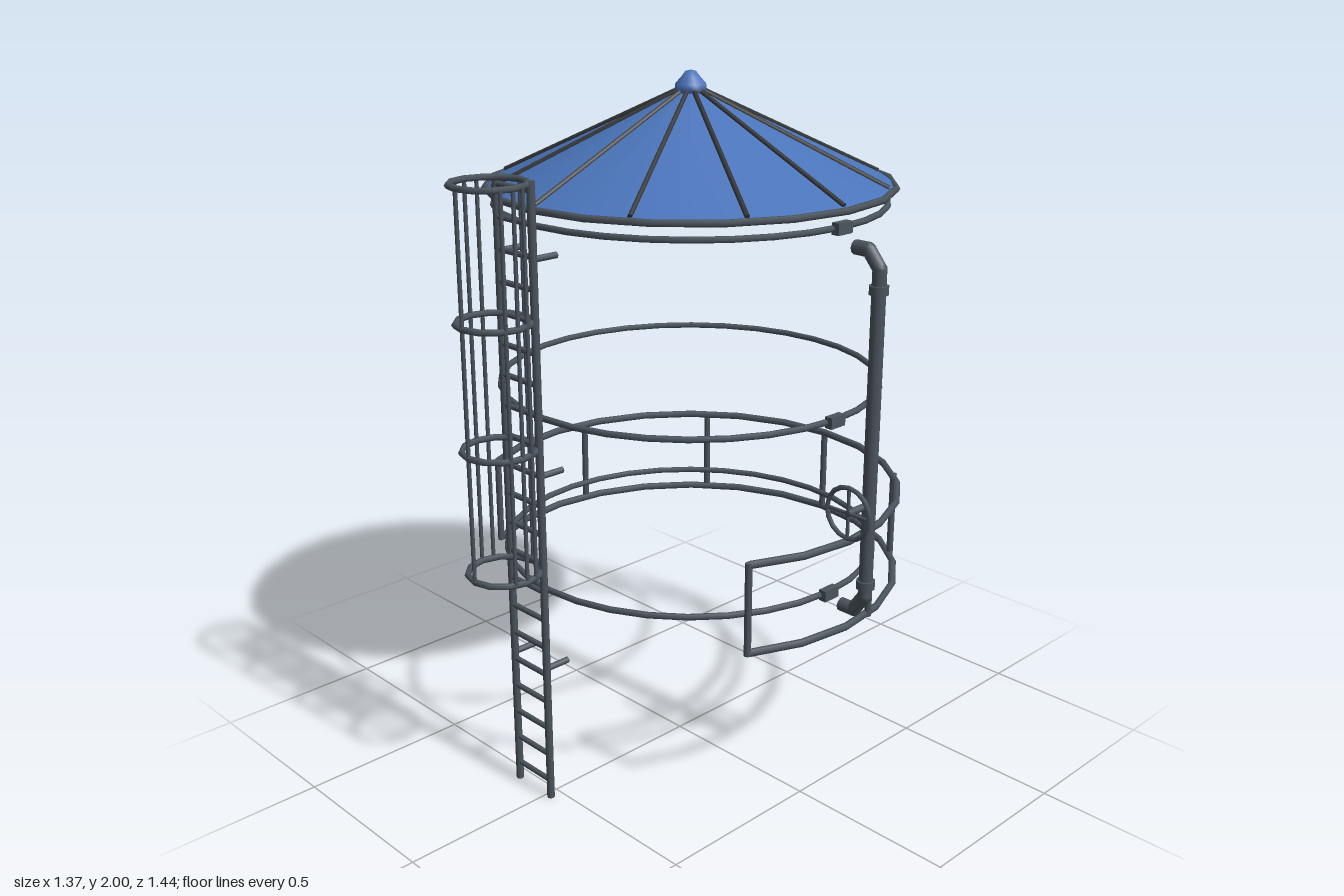
import * as THREE from 'three';

const steel = new THREE.MeshStandardMaterial({ color: 0x4b545d });
steel.name = 'steel';
const roofBlue = new THREE.MeshStandardMaterial({ color: 0x4a74ba });
roofBlue.name = 'roof blue';
const darkRib = new THREE.MeshStandardMaterial({ color: 0x343638 });
darkRib.name = 'dark rib';

const CX = -0.05, CZ = -0.09; // tank axis
const V = (x, y, z) => new THREE.Vector3(x, y, z);
const rad = THREE.MathUtils.degToRad;

export function createModel() {
  const model = new THREE.Group();
  model.name = 'tankFittings';

  function group(name) {
    const g = new THREE.Group();
    g.name = name;
    model.add(g);
    return g;
  }
  function add(parent, name, geo, mat, x = 0, y = 0, z = 0) {
    const m = new THREE.Mesh(geo, mat);
    m.name = name;
    m.position.set(x, y, z);
    parent.add(m);
    return m;
  }
  // round bar between two points
  function bar(parent, name, a, b, r, mat = steel, sides = 8) {
    const m = add(parent, name, new THREE.CylinderGeometry(r, r, a.distanceTo(b), sides), mat);
    m.position.copy(a).add(b).multiplyScalar(0.5);
    m.quaternion.setFromUnitVectors(V(0, 1, 0), b.clone().sub(a).normalize());
    return m;
  }
  // horizontal ring
  function ring(parent, name, R, r, segs, x, y, z) {
    const geo = new THREE.TorusGeometry(R, r, 6, segs).rotateX(Math.PI / 2);
    return add(parent, name, geo, steel, x, y, z);
  }
  // point around the tank axis, angle from +x towards +z
  const around = (deg, r, y) => V(CX + r * Math.cos(rad(deg)), y, CZ + r * Math.sin(rad(deg)));

  // Roof cone, ribs, edge ring and cap
  const roof = group('roof');
  add(roof, 'roofCone', new THREE.ConeGeometry(0.577, 0.27, 24), roofBlue, CX, 1.825, CZ);
  for (let i = 0; i < 12; i++) {
    bar(roof, 'roofRib', around(i * 30, 0.04, 1.944), around(i * 30, 0.56, 1.701), 0.007, darkRib, 6);
  }
  ring(roof, 'roofEdge', 0.575, 0.01, 20, CX, 1.69, CZ);
  const cap = [[0, 1.935], [0.047, 1.94], [0.044, 1.962], [0.026, 1.982], [0.015, 1.996], [0, 2]];
  add(roof, 'roofCap', new THREE.LatheGeometry(cap.map(p => new THREE.Vector2(...p)), 12), roofBlue, CX, 0, CZ);

  // Hoops with their clamps
  const hoops = group('tankHoops');
  for (const y of [0.61, 1.12, 1.645]) {
    ring(hoops, 'hoop', 0.554, 0.009, 32, CX, y, CZ);
    add(hoops, 'hoopClamp', new THREE.BoxGeometry(0.024, 0.032, 0.056), steel, CX + 0.56, y, CZ + 0.004);
  }

  // Guard rail, open at the front
  const guard = group('guardRail');
  for (const y of [0.527, 0.787]) {
    const geo = new THREE.TorusGeometry(0.622, 0.011, 6, 16, rad(240));
    geo.rotateZ(rad(-30)).rotateX(-Math.PI / 2);
    add(guard, 'rail', geo, steel, CX, y, CZ);
  }
  for (let a = 30; a >= -210; a -= 40) {
    bar(guard, 'railPost', around(a, 0.622, 0.52), around(a, 0.622, 0.793), 0.01);
  }

  // Ladder
  const ladder = group('ladder');
  const LX = -0.053, LZ = 0.535;
  for (const s of [-1, 1]) {
    const x = LX + s * 0.071;
    bar(ladder, 'ladderRail', V(x, 0, LZ), V(x, 1.78, LZ), 0.011);
    for (const y of [0.415, 0.99, 1.58]) {
      bar(ladder, 'wallBracket', V(x, y, LZ), V(x, y, 0.459), 0.009);
    }
  }
  for (let i = 0; i < 21; i++) {
    const y = 0.055 + i * 0.085;
    bar(ladder, 'rung', V(LX - 0.071, y, LZ), V(LX + 0.071, y, LZ), 0.008, steel, 6);
  }

  // Safety cage
  const cage = group('safetyCage');
  const KZ = 0.613;
  for (const y of [0.715, 1.068, 1.416, 1.773]) ring(cage, 'cageHoop', 0.1, 0.009, 12, LX, y, KZ);
  for (const a of [0, 70, 90, 110, 180, 250, 270, 290]) {
    const x = LX + 0.1 * Math.sin(rad(a)), z = KZ + 0.1 * Math.cos(rad(a));
    bar(cage, 'cageBar', V(x, 0.715, z), V(x, 1.773, z), 0.006, steel, 6);
  }

  // Side pipe with elbows and collars
  const pipe = group('sidePipe');
  const PX = 0.603, PZ = -0.13;
  const path = new THREE.CurvePath();
  const pts = [[0.52, 0.565], [0.565, 0.565], [PX, 0.62], [PX, 1.545], [0.565, 1.59], [0.52, 1.59]]
    .map(([x, y]) => V(x, y, PZ));
  for (let i = 0; i < pts.length - 1; i++) {
    bar(pipe, 'pipeSection', pts[i], pts[i + 1], 0.02, steel, 10);
    if (i > 0) add(pipe, 'pipeJoint', new THREE.SphereGeometry(0.02, 10, 8), steel, ...pts[i].toArray());
  }
  for (const y of [0.655, 1.49]) {
    add(pipe, 'pipeCollar', new THREE.CylinderGeometry(0.027, 0.027, 0.024, 10), steel, PX, y, PZ);
  }

  // Valve wheel on its stem
  const valve = group('valveWheel');
  const WY = 0.892, WZ = -0.042;
  bar(valve, 'valveStem', V(PX, WY, PZ), V(PX, WY, WZ + 0.004), 0.01);
  add(valve, 'wheelRim', new THREE.TorusGeometry(0.073, 0.007, 6, 16), steel, PX, WY, WZ);
  bar(valve, 'wheelSpoke', V(PX - 0.073, WY, WZ), V(PX + 0.073, WY, WZ), 0.005, steel, 6);
  bar(valve, 'wheelSpoke', V(PX, WY - 0.073, WZ), V(PX, WY + 0.073, WZ), 0.005, steel, 6);

  return model;
}
